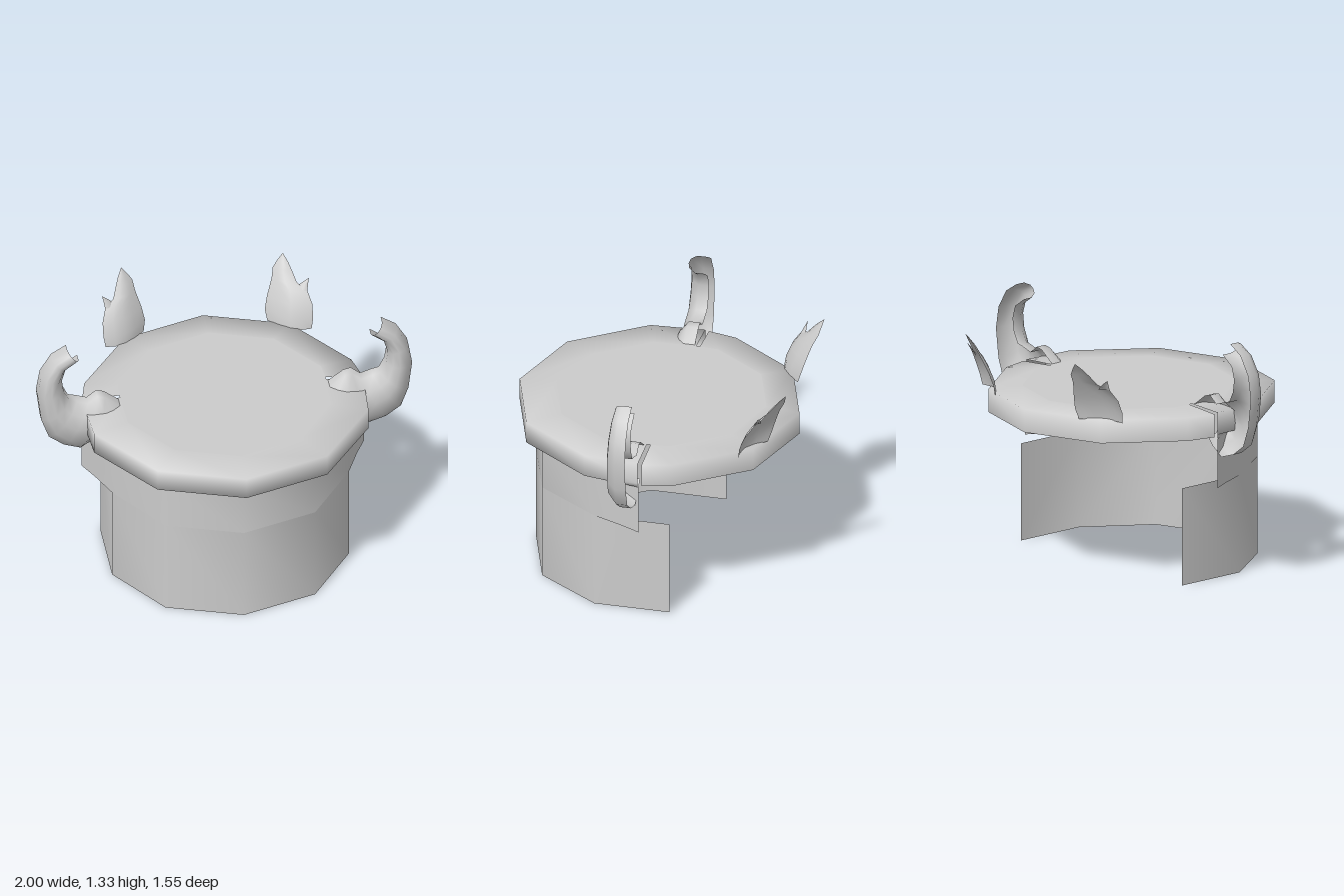
import * as THREE from 'three';

const material = new THREE.MeshStandardMaterial({ color: 0xcccccc, side: THREE.DoubleSide });

// Smooth surface through rows of [x, y, z] points
function loft(name, rows) {
  const n = rows[0].length, index = [];
  for (let i = 0; i < rows.length - 1; i++) {
    for (let j = 0; j < n - 1; j++) {
      const a = i * n + j, b = a + 1, c = a + n, d = c + 1;
      index.push(a, b, c, b, d, c);
    }
  }
  const geo = new THREE.BufferGeometry();
  geo.setAttribute('position', new THREE.Float32BufferAttribute(rows.flat(2), 3));
  geo.setIndex(index);
  geo.computeVertexNormals();
  const mesh = new THREE.Mesh(geo, material);
  mesh.name = name;
  return mesh;
}

// Mirror half an outline of [x, z] points (the last one lies on x = 0)
const mirrored = half => [...half, ...half.slice(0, -1).reverse().map(([x, z]) => [-x, z])];
const atHeight = (outline, y) => outline.map(([x, z]) => [x, y, z]);

// Ten-sided ring corners, from the side to the middle
const corners = (r, sign) => [72, 36, 0].map(deg => {
  const a = deg * Math.PI / 180;
  return [r * Math.sin(a), sign * r * Math.cos(a)];
});

// Curled horn, open at the back: pairs of outer and inner [x, y] edge points
function horn() {
  const pairs = [
    [0.84, 1.33, 0.78, 1.26], [0.92, 1.28, 0.85, 1.21], [0.98, 1.18, 0.87, 1.14],
    [1.0, 1.06, 0.86, 1.07], [0.98, 0.9, 0.83, 1.01], [0.94, 0.79, 0.79, 1.0],
    [0.86, 0.73, 0.73, 0.98], [0.77, 0.7, 0.68, 1.02], [0.7, 0.75, 0.64, 1.01],
    [0.66, 0.8, 0.56, 0.95],
  ];
  const section = [[0, -0.045], [0, 0.2], [0.22, 0.85], [0.5, 1], [0.78, 0.85], [1, 0.2], [1, -0.045]];
  return loft('horn', pairs.map(([ox, oy, ix, iy], i) => {
    const depth = 0.05 + 0.03 * Math.min(1, i / 5);
    return section.map(([t, z]) => [ox + (ix - ox) * t, oy + (iy - oy) * t, z < 0 ? z : z * depth]);
  }));
}

// Flame blade leaning outwards over the rim: rows of [y, inner x, outer x]
function flameBlade(name, rows) {
  return loft(name, rows.map(([y, x0, x1]) => [0, 0.25, 0.5, 0.75, 1].map(t => {
    const x = x0 + (x1 - x0) * t;
    const lean = 0.17 * Math.pow((y - 0.93) / 0.34, 1.4);
    const bulge = 0.2 * (x1 - x0) * Math.sin(Math.PI * t);
    return [x, y, -0.605 + (x - 0.44) * 0.5 - lean + bulge];
  })));
}

function flame() {
  const group = new THREE.Group();
  group.name = 'flame';
  group.add(
    flameBlade('flameBody', [
      [0.93, 0.33, 0.55], [0.99, 0.32, 0.56], [1.06, 0.335, 0.56], [1.12, 0.355, 0.54],
      [1.15, 0.365, 0.49], [1.2, 0.375, 0.47], [1.235, 0.4, 0.455], [1.27, 0.43, 0.432],
    ]),
    flameBlade('flameSpike', [[1.12, 0.48, 0.54], [1.15, 0.51, 0.545], [1.18, 0.55, 0.552]]),
  );
  return group;
}

export function createModel() {
  const model = new THREE.Group();
  model.name = 'hornedDrum';

  // Outlines of the front and rear halves, parted by a thin slot beside the horns
  const frontInner = mirrored([[0.55, -0.055], ...corners(0.57, 1)]);
  const frontRim = mirrored([[0.75, -0.055], ...corners(0.77, 1)]);
  const rearInner = mirrored([[0.55, -0.075], ...corners(0.57, -1)]).reverse();
  const rearRim = mirrored([[0.75, -0.075], ...corners(0.75, -1)]).reverse();

  // Flat middle of the top
  const loop = atHeight([...frontInner, ...rearInner, frontInner[0]], 0.95);
  model.add(loft('topDisc', [loop.map(() => [0, 0.95, 0]), loop]));

  // Front rim with its underside
  const wall = corners(0.68, 1).map(([x, z]) => [Math.min(x, 0.632), z]);
  const flare = mirrored([[0.75, -0.055], ...wall]);
  model.add(loft('frontRim', [
    atHeight(frontInner, 0.95), atHeight(frontRim, 0.94),
    atHeight(frontRim, 0.82), atHeight(flare, 0.8),
  ]));

  // Rear rim, open underneath
  model.add(loft('rearRim', [
    atHeight(rearInner, 0.95), atHeight(rearRim, 0.935), atHeight(rearRim, 0.81),
  ]));

  // Upper wall, flaring out under the horns
  const upper = mirrored([[0.755, -0.06], [0.7, 0.05], ...wall]);
  model.add(loft('upperWall', [atHeight(upper, 0.8), atHeight(upper, 0.53)]));

  // Lower wall, open at the back
  const lower = mirrored([[0.632, -0.2], ...wall]);
  model.add(loft('lowerWall', [atHeight(lower, 0.53), atHeight(lower, 0)]));

  // Horns and flames on both sides
  for (const [name, side] of [['left', 1], ['right', -1]]) {
    const group = new THREE.Group();
    group.name = name + 'Ornaments';
    group.add(horn(), flame());
    group.scale.x = side;
    model.add(group);
  }
  return model;
}
